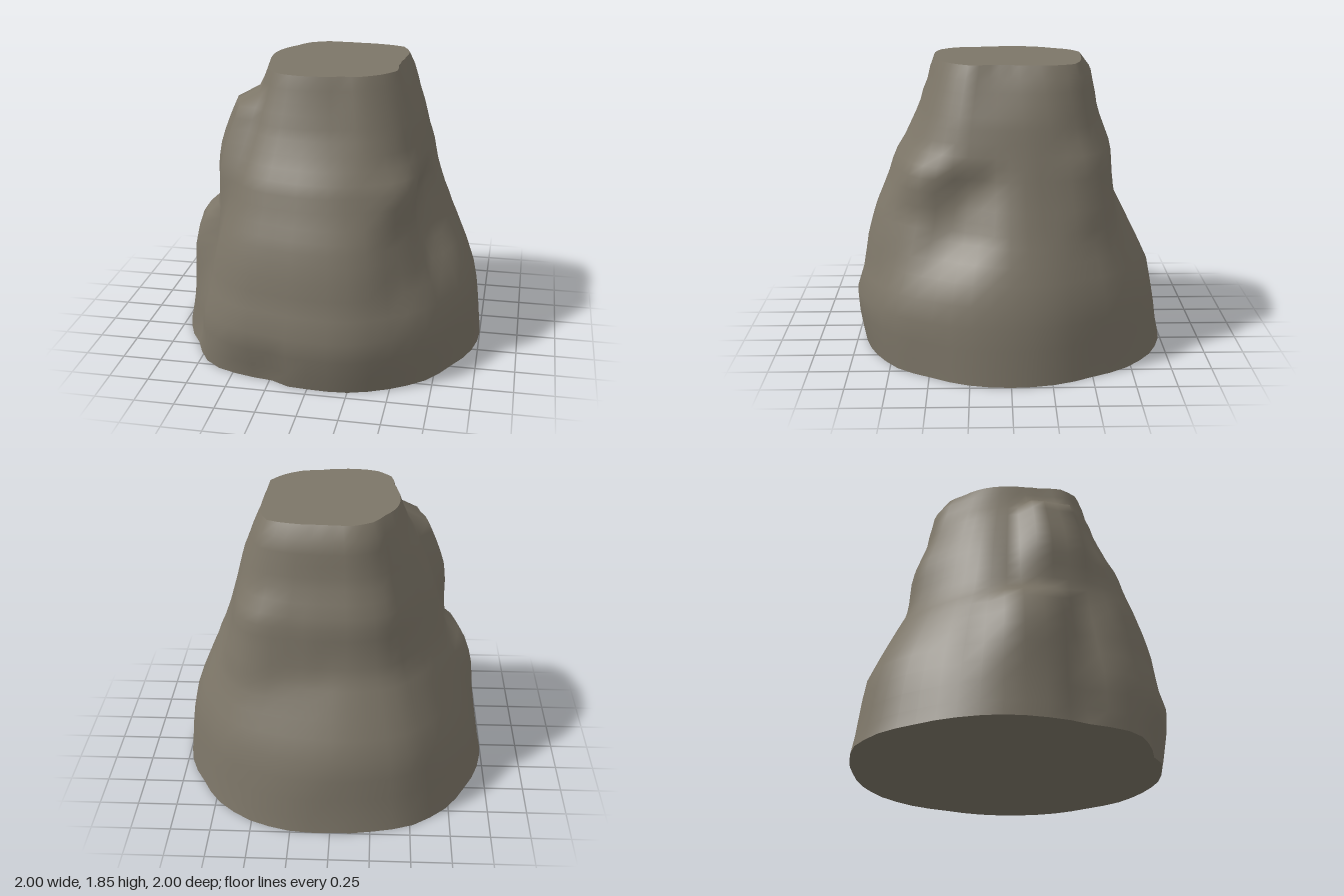
import * as THREE from 'three';

// Outline radii every 15 degrees, from +x towards +z
const BASE = [1, 1, .99, 1.02, 1.02, 1.02, .99, .98, 1.02, 1.02, .97, .98, 1, 1, 1, 1.03, 1.04, 1.01, 1, 1.02, 1.03, 1.02, .99, 1];
const TOP = [.43, .44, .5, .5, .49, .46, .47, .49, .51, .49, .42, .4, .4, .41, .42, .43, .47, .48, .46, .47, .51, .56, .52, .46];
// Side profiles: radius at each height
const HEIGHTS = [0, .1, .22, .35, .48, .6, .7, .8, .87, .93, 1, 1.1, 1.18, 1.25, 1.32, 1.4, 1.48, 1.55, 1.62, 1.69, 1.77, 1.85];
const LEFT = [1, .99, .98, .965, .94, .9, .86, .82, .79, .77, .74, .705, .68, .66, .64, .62, .6, .58, .55, .525, .49, .45];
const FRONT = [.95, .97, .99, 1, .96, .94, .925, .9, .88, .86, .83, .79, .765, .735, .69, .65, .61, .58, .56, .53, .51, .48];
const RIGHT = [1, .98, .96, .93, .89, .855, .825, .79, .76, .73, .71, .68, .66, .64, .62, .59, .56, .53, .5, .46, .43, .4];
const BACK = [.99, .97, .955, .94, .92, .865, .815, .765, .73, .7, .68, .665, .66, .655, .64, .61, .58, .56, .55, .535, .52, .46];
// Ledges and hollows: angle, half width, low y, high y, fade below, fade above, depth
const BUMPS = [
  [2.68, .31, 1.4, 1.61, .65, .1, .12],  // upper shoulder
  [2.92, .27, .68, .83, .45, .13, .085], // lower shoulder
  [2.6, .13, .15, .7, .2, .25, -.03],    // notch below the shoulders
  [.4, .28, .85, 1.1, .3, .2, -.07],     // side hollow
  [.72, .35, .7, .9, .3, .3, -.04],      // hollow under the ridge
  [.8, .26, 1.12, 1.22, .2, .1, .03],    // ridge beside the hollow
  [-.78, .3, 1, 1.25, .25, .2, .035],    // rear swelling
  [-1.25, .25, .5, .8, .3, .3, -.02],
  [-2.5, .3, .8, 1.3, .4, .3, -.015],
  [1.95, .2, 0, .08, .1, .2, -.03],
];
const SEG = 48;

const smooth = (t) => THREE.MathUtils.smoothstep(t, 0, 1);

function sample(outline, i) {
  const k = i / 2, a = Math.floor(k);
  return THREE.MathUtils.lerp(outline[a % 24], outline[(a + 1) % 24], k - a);
}

// Share of the spread between top and base outline at a height
function spread(profile, j) {
  const top = profile[profile.length - 1];
  return (profile[j] - top) / (Math.max(...profile) - top);
}

function radius(i, j) {
  const a = (i / SEG) * Math.PI * 2, y = HEIGHTS[j];
  const c = Math.cos(a), s = Math.sin(a);
  const f = c * c * spread(c > 0 ? LEFT : RIGHT, j) + s * s * spread(s > 0 ? FRONT : BACK, j);
  let r = THREE.MathUtils.lerp(sample(TOP, i), sample(BASE, i), f);
  for (const [angle, width, low, high, below, above, depth] of BUMPS) {
    const d = Math.abs(Math.atan2(Math.sin(a - angle), Math.cos(a - angle)));
    const across = smooth((width - d) / (width * .6) + .3);
    const along = smooth(1 - (low - y) / below) * smooth(1 - (y - high) / above);
    r += depth * across * along;
  }
  return r;
}

function geometry(positions, index) {
  const g = new THREE.BufferGeometry();
  g.setAttribute('position', new THREE.Float32BufferAttribute(positions, 3));
  g.setIndex(index);
  g.computeVertexNormals();
  return g;
}

// Flat fan closing a ring
function cap(ring, y, up) {
  const index = [];
  for (let i = 0; i < SEG; i++) {
    const n = (i + 1) % SEG;
    index.push(SEG, up ? n : i, up ? i : n);
  }
  return geometry([...ring.flat(), 0, y, 0], index);
}

export function createModel() {
  const group = new THREE.Group();
  group.name = 'rockStump';
  const stone = new THREE.MeshStandardMaterial({ color: 0x7d7668 });
  stone.name = 'stone';

  // Rings of the craggy side wall
  const last = HEIGHTS.length - 1;
  const rings = HEIGHTS.map((y, j) => {
    const ring = [];
    for (let i = 0; i < SEG; i++) {
      const a = (i / SEG) * Math.PI * 2, r = radius(i, j);
      ring.push([r * Math.cos(a), y, r * Math.sin(a)]);
    }
    return ring;
  });

  const index = [];
  for (let j = 0; j < last; j++) {
    for (let i = 0; i < SEG; i++) {
      const n = (i + 1) % SEG;
      const a = j * SEG + i, b = j * SEG + n, c = a + SEG, d = b + SEG;
      index.push(a, c, b, b, c, d);
    }
  }

  const add = (name, geo) => {
    const mesh = new THREE.Mesh(geo, stone);
    mesh.name = name;
    group.add(mesh);
  };
  add('rockWall', geometry(rings.flat(2), index));
  add('flatTop', cap(rings[last], HEIGHTS[last], true));
  add('underside', cap(rings[0], 0, false));
  return group;
}
